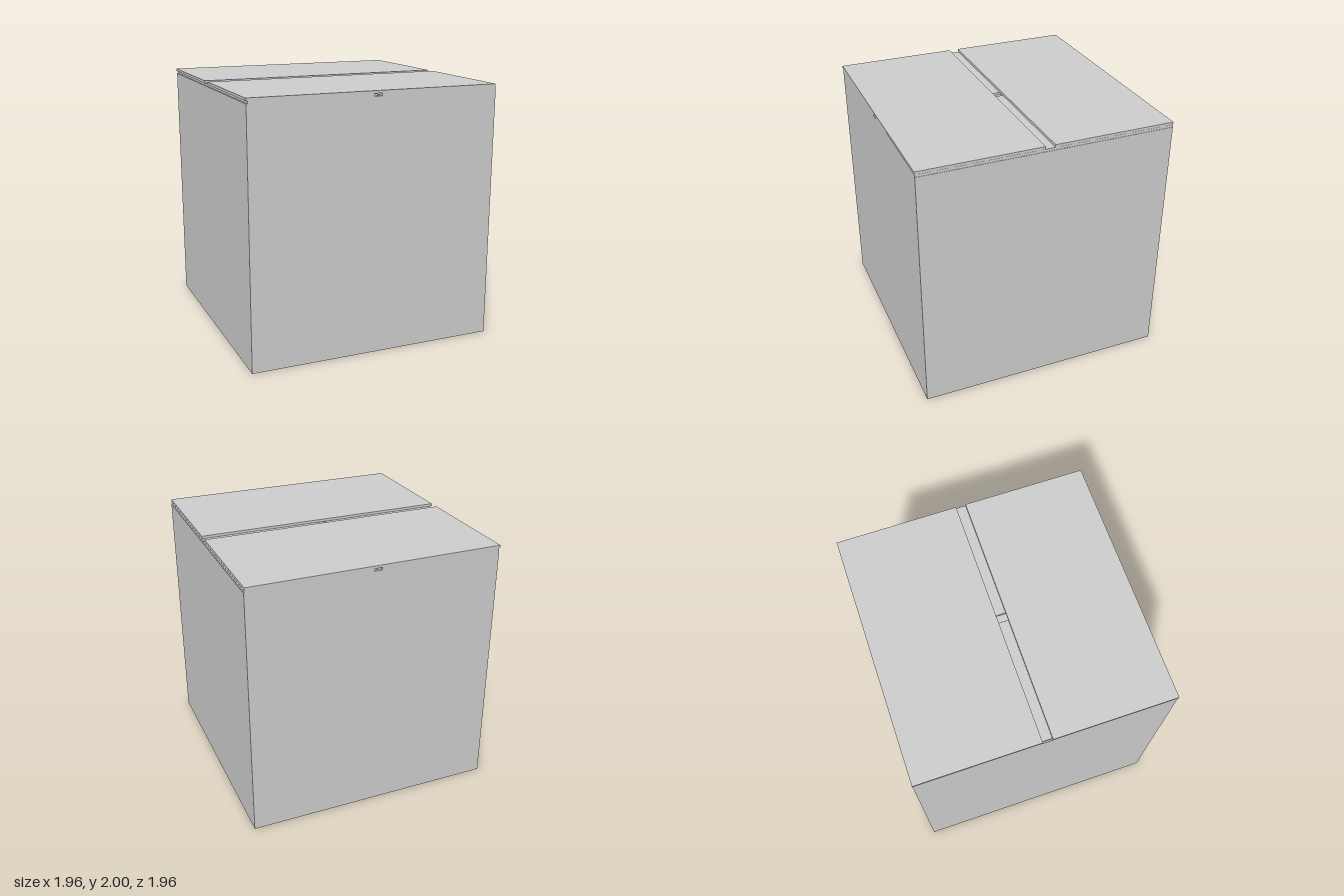
import * as THREE from 'three';

export function createModel() {
  const model = new THREE.Group();
  model.name = 'cardboardBox';
  const material = new THREE.MeshStandardMaterial({ color: 0xcccccc });

  // Adds a flat panel from its lower and upper corner.
  function panel(name, x0, y0, z0, x1, y1, z1) {
    const geometry = new THREE.BoxGeometry(x1 - x0, y1 - y0, z1 - z0);
    const mesh = new THREE.Mesh(geometry, material);
    mesh.name = name;
    mesh.position.set((x0 + x1) / 2, (y0 + y1) / 2, (z0 + z1) / 2);
    model.add(mesh);
  }

  const half = 0.98;     // half width of the body
  const board = 0.02;    // cardboard thickness
  const rim = 1.96;      // top of the walls
  const inner = half - board;

  // Hollow body: floor and four walls
  panel('floor', -half, 0, -half, half, board, half);
  panel('frontWall', -half, board, inner, half, rim, half);
  panel('backWall', -half, board, -half, half, rim, -inner);
  panel('leftWall', inner, board, -inner, half, rim, inner);
  panel('rightWall', -half, board, -inner, -inner, rim, inner);

  // Inner flaps, leaving a narrow slot at x = 0
  const fold = rim + board;
  panel('leftInnerFlap', 0.03, rim, -half, 0.977, fold, half);
  panel('rightInnerFlap', -0.97, rim, -half, -0.03, fold, half);

  // Outer flaps, leaving a gap at z = 0 and lying slightly off to one side
  panel('frontOuterFlap', -0.985, fold, 0.038, 0.976, 2, 0.982);
  panel('backOuterFlap', -0.985, fold, -0.982, 0.976, 2, -0.038);

  return model;
}
